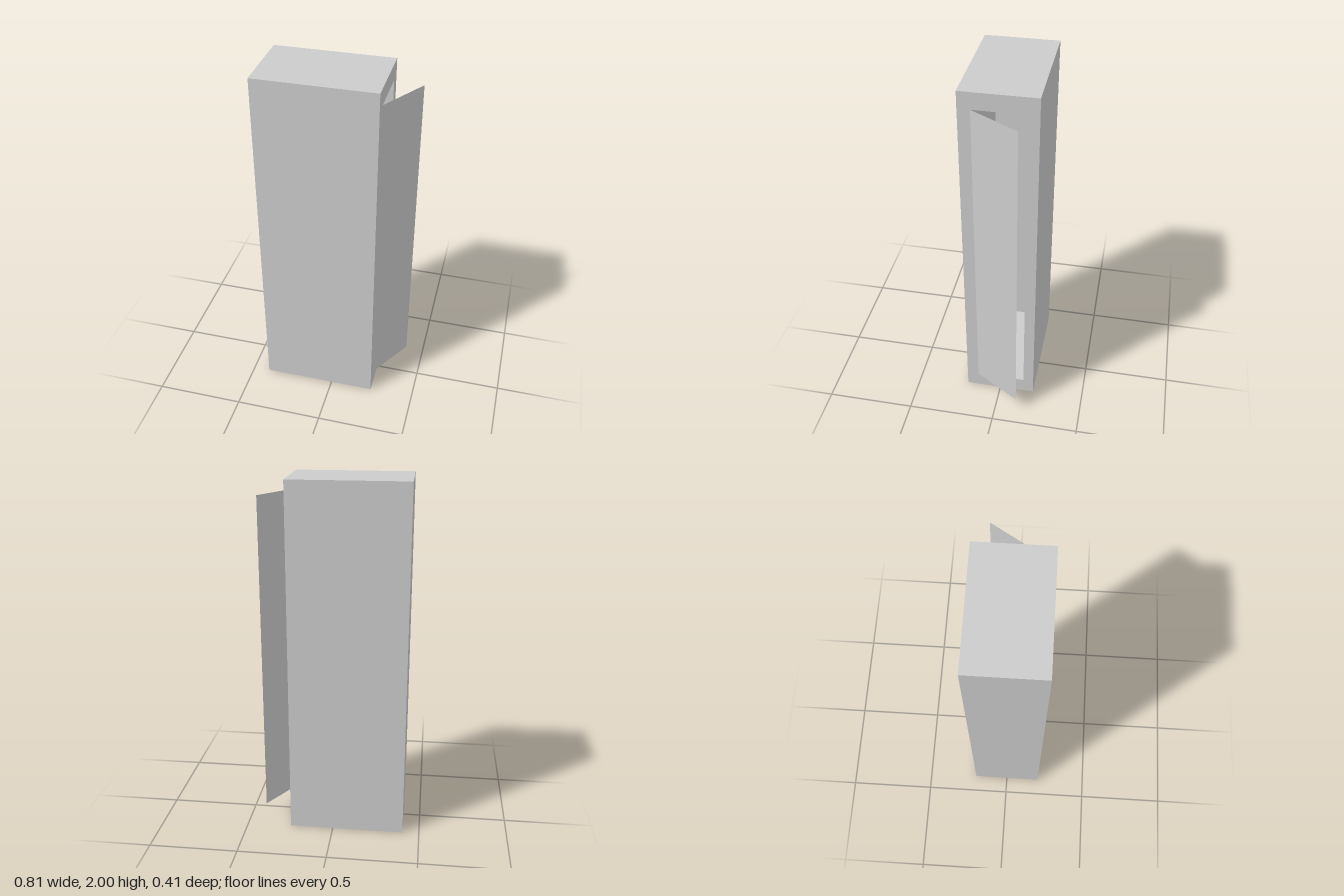
import * as THREE from 'three';

const LEFT = 0.247, RIGHT = -0.405, DEPTH = 0.405, HEIGHT = 2;
const open = { back: -0.143, front: 0.136, bottom: 0.09, top: 1.907 };
const CAVITY_END = -0.345;

// Box between two corners, without its +x face
function openBox(x0, x1, y0, y1, z0, z1) {
  const g = new THREE.BoxGeometry(x1 - x0, y1 - y0, z1 - z0);
  g.setIndex(Array.from(g.index.array).slice(6));
  g.clearGroups();
  return g.translate((x0 + x1) / 2, (y0 + y1) / 2, (z0 + z1) / 2);
}

function rectangle(path, a, b, y0, y1) {
  return path.moveTo(a, y0).lineTo(b, y0).lineTo(b, y1).lineTo(a, y1).closePath();
}

export function createModel() {
  const group = new THREE.Group();
  const add = (name, geometry, side = THREE.FrontSide) => {
    const material = new THREE.MeshStandardMaterial({ color: 0xcccccc, flatShading: true, side });
    const mesh = new THREE.Mesh(geometry, material);
    mesh.name = name;
    group.add(mesh);
    return mesh;
  };

  // Outer casing
  add('casing', openBox(RIGHT, LEFT, 0, HEIGHT, -DEPTH / 2, DEPTH / 2));

  // Rim around the doorway, drawn in (-z, y) and turned to face +x
  const rim = rectangle(new THREE.Shape(), -DEPTH / 2, DEPTH / 2, 0, HEIGHT);
  rim.holes.push(rectangle(new THREE.Path(), -open.front, -open.back, open.bottom, open.top));
  add('doorwayRim', new THREE.ShapeGeometry(rim).rotateY(Math.PI / 2).translate(LEFT, 0, 0));

  // Hollow inside, seen through the doorway
  add('cavity', openBox(CAVITY_END, LEFT, open.bottom, open.top, open.back, open.front), THREE.BackSide);

  // Thin door, hinged on the front edge of the doorway and standing ajar
  const dx = 0.158, dz = -0.26;
  const width = Math.hypot(dx, dz), height = open.top - open.bottom;
  const door = add('door', new THREE.PlaneGeometry(width, height).translate(width / 2, height / 2, 0), THREE.DoubleSide);
  door.position.set(LEFT, open.bottom, open.front);
  door.rotation.y = Math.atan2(-dz, dx);

  return group;
}
